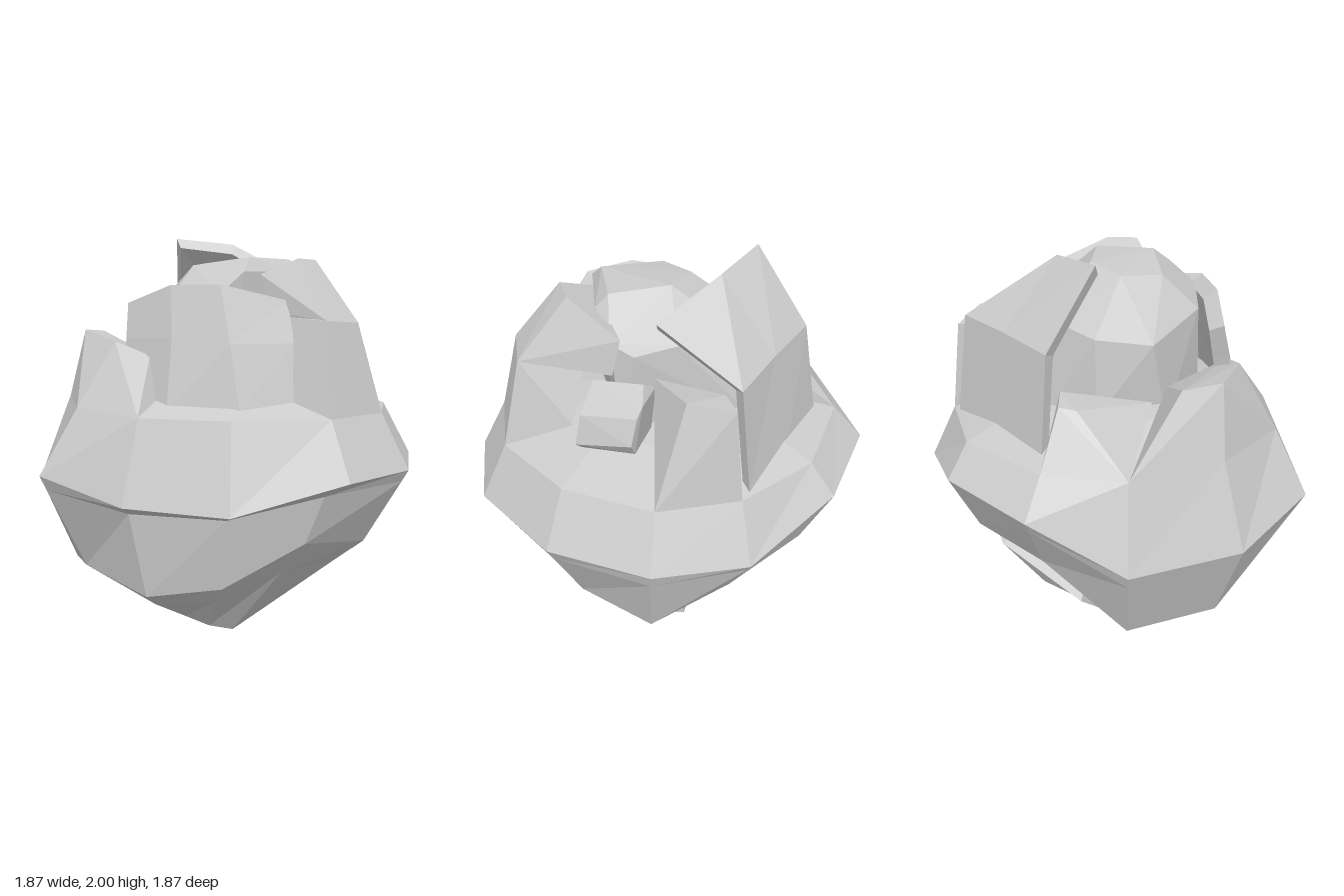
import * as THREE from 'three';
import { ConvexGeometry } from 'three/addons/geometries/ConvexGeometry.js';

const material = new THREE.MeshStandardMaterial({ color: 0xcccccc, flatShading: true, side: THREE.DoubleSide });

function part(name, geometry) {
  const mesh = new THREE.Mesh(geometry, material);
  mesh.name = name;
  return mesh;
}

// Solid chunk spanned by its corner points
const chunk = (name, pts) => part(name, new ConvexGeometry(pts.map((p) => new THREE.Vector3(...p))));

function facets(positions, index) {
  const g = new THREE.BufferGeometry();
  g.setAttribute('position', new THREE.Float32BufferAttribute(positions.flat(), 3));
  g.setIndex(index);
  const flat = g.toNonIndexed();
  flat.computeVertexNormals();
  return flat;
}

// Ring between two others, with some corners pushed in to form a recess
const between = (a, b, t, recess) =>
  a.map((p, i) => recess[i] ?? p.map((v, k) => v + (b[i][k] - v) * t));

// Closed body from rings ordered bottom to top, capped at both ends
function loft(rings, bottom, top) {
  const n = rings[0].length, last = (rings.length - 1) * n, index = [];
  const pts = [...rings.flat(), bottom, top];
  for (let j = 0; j < n; j++) {
    const k = (j + 1) % n;
    for (let i = 0; i < rings.length - 1; i++) {
      const a = i * n + j, b = i * n + k;
      index.push(a, b, b + n, a, b + n, a + n);
    }
    index.push(pts.length - 2, k, j, pts.length - 1, last + j, last + k);
  }
  return facets(pts, index);
}

// Bent plate: outer grid of points, inner grid pulled toward a centre
function plate(name, rows, thickness, centre) {
  const c = new THREE.Vector3(...centre), w = rows[0].length, h = rows.length;
  const outer = rows.flat(), n = outer.length, index = [];
  const inner = outer.map((p) => {
    const v = new THREE.Vector3(...p);
    return v.addScaledVector(c.clone().sub(v).normalize(), thickness).toArray();
  });
  const quad = (a, b, d, e) => index.push(a, b, d, a, d, e);
  for (let i = 0; i < h - 1; i++) {
    for (let j = 0; j < w - 1; j++) {
      const a = i * w + j;
      quad(a, a + 1, a + w + 1, a + w);
      quad(n + a, n + a + w, n + a + w + 1, n + a + 1);
    }
    const l = i * w, r = l + w - 1;
    quad(l, l + w, n + l + w, n + l);
    quad(r, n + r, n + r + w, r + w);
  }
  for (let j = 0; j < w - 1; j++) {
    const t = (h - 1) * w + j;
    quad(j, n + j, n + j + 1, j + 1);
    quad(t, t + 1, n + t + 1, n + t);
  }
  return part(name, facets([...outer, ...inner], index));
}

export function createModel() {
  const model = new THREE.Group();
  model.name = 'brokenShell';

  // Twelve-sided lower shell, recessed at the lower front and under the hanging plate
  const base = [[.05, .16, .28], [.3, .21, .2], [.28, .26, .03], [.24, .28, -.08], [.18, .24, -.2], [-.05, .13, -.28],
    [-.23, .09, -.28], [-.3, .12, -.26], [-.38, .15, -.12], [-.38, .15, .1], [-.33, .12, .22], [-.23, .09, .28]];
  const low = [[.2, .54, .73], [.55, .49, .5], [.78, .44, .2], [.78, .65, -.17], [.6, .73, -.55], [.24, .72, -.77],
    [-.15, .35, -.77], [-.55, .35, -.55], [-.74, .42, -.2], [-.7, .35, .2], [-.49, .4, .47], [-.23, .61, .73]];
  const equator = [[.26, .9, .93], [.69, .9, .65], [.93, .9, .22], [.93, .9, -.22], [.69, 1.04, -.66], [.26, 1.04, -.94],
    [-.18, .8, -.94], [-.66, .8, -.68], [-.94, .87, -.27], [-.83, .78, .2], [-.6, .77, .63], [-.18, .9, .93]];
  const rim = [[.22, 1.16, .8], [.58, 1.16, .56], [.8, 1.16, .18], [.8, 1.17, -.2], [.62, 1.19, -.56], [.22, 1.2, -.8],
    [-.16, 1.2, -.8], [-.55, 1.2, -.57], [-.77, 1.18, -.2], [-.71, 1.16, .17], [-.5, 1.16, .54], [-.15, 1.16, .8]];
  const underside = between(low, base, .3, { 2: [.56, .37, .1], 3: [.52, .56, -.12], 4: [.4, .58, -.38], 5: [.15, .5, -.55] });
  const bite = between(equator, low, .15, { 9: [-.77, .74, .17], 10: [-.52, .73, .53], 11: [-.2, .83, .81] });
  const floor = rim.map(([x, y, z]) => [x * .62, y + .11, z * .62]);
  model.add(part('lowerShell', loft([base, underside, low, bite, equator, rim, floor], [-.1, .14, 0], [0, 1.35, 0])));

  // Sloping lip at the back
  model.add(chunk('rearLip', [
    [-.16, 1.2, -.8], [.22, 1.2, -.8], [.17, 1.44, -.63], [.09, 1.43, -.63],
    [.19, 1.45, -.5], [-.2, 1.35, -.35], [.2, 1.2, -.4]]));

  // Faceted inner core
  model.add(chunk('core', [
    [-.2, 1.84, -.02], [-.12, 1.87, .28], [.16, 1.87, .28], [.14, 1.88, 0], [-.02, 1.86, -.12],
    [-.2, 1.62, -.33], [.05, 1.66, -.4], [.24, 1.68, -.28], [.33, 1.68, 0], [.36, 1.66, .2],
    [.33, 1.72, .3], [.16, 1.81, .34], [-.2, 1.8, .32], [-.33, 1.7, .3], [-.37, 1.68, 0], [-.28, 1.65, -.15],
    [-.38, 1.32, .02], [-.26, 1.22, -.28], [.04, 1.3, -.43], [.3, 1.25, -.36], [.34, 1.2, .25], [-.28, 1.2, .3]]));

  // Front shard: upright trunk and the piece leaning over the block
  model.add(chunk('frontShardTrunk', [
    [-.15, 1.16, .8], [.22, 1.16, .8], [-.07, 1.58, .7], [.16, 1.57, .7],
    [-.2, 1.18, .45], [.28, 1.28, .48], [-.1, 1.6, .4], [.19, 1.58, .4]]));
  model.add(chunk('frontShardTop', [
    [-.07, 1.58, .7], [.16, 1.57, .7], [.41, 1.61, .3], [.3, 1.63, .45], [-.01, 1.86, .48], [.14, 1.86, .46],
    [.4, 1.77, .26], [-.1, 1.79, .33], [-.1, 1.62, .4]]));

  // Side shard
  model.add(chunk('leftShard', [
    [.8, 1.16, .18], [.8, 1.17, -.2], [.7, 1.63, .03], [.75, 1.6, -.17],
    [.42, 1.18, .12], [.43, 1.59, .12], [.6, 1.18, -.15], [.62, 1.6, -.15]]));

  // Tall bent plate at the back
  model.add(plate('backPlate', [
    [[.76, 1.18, -.24], [.5, 1.19, -.48], [.24, 1.2, -.69]],
    [[.7, 1.66, -.2], [.46, 1.67, -.4], [.22, 1.67, -.61]],
    [[.36, 1.81, .1], [.25, 1.97, -.2], [.04, 2, -.41]]], .06, [0, 1.4, 0]));

  // Low jagged shard at the back on the other side
  model.add(chunk('rearRightShard', [
    [-.16, 1.2, -.8], [-.55, 1.2, -.57], [-.35, 1.52, -.55], [-.52, 1.53, -.47], [-.26, 1.4, -.28], [-.25, 1.2, -.28],
    [-.77, 1.18, -.2], [-.71, 1.16, .17], [-.58, 1.48, -.15], [-.52, 1.42, .03], [-.4, 1.2, .1]]));

  // Curved standing plate on the front right
  model.add(plate('frontRightPlate', [
    [[-.58, 1.18, -.1], [-.57, 1.18, .2], [-.41, 1.19, .5], [-.13, 1.2, .62]],
    [[-.53, 1.5, -.13], [-.5, 1.5, .16], [-.39, 1.48, .42], [-.11, 1.48, .55]],
    [[-.5, 1.66, -.15], [-.45, 1.74, .1], [-.36, 1.74, .33], [-.08, 1.67, .48]]], .08, [0, 1.4, 0]));

  // Tapered block in the front gap
  model.add(chunk('block', [
    [.33, 1.26, .45], [.44, 1.27, .45], [.58, 1.31, .23], [.47, 1.31, .48], [.61, 1.37, .25], [.45, 1.45, .45],
    [.58, 1.49, .22], [.35, 1.56, .38], [.44, 1.57, .17], [.55, 1.53, .19], [.25, 1.38, .38],
    [.28, 1.5, .32], [.38, 1.3, .13], [.39, 1.52, .11]]));

  // Loose curved plate hanging underneath
  model.add(plate('hangingPlate', [
    [[-.1, .13, -.38], [.02, .06, -.27], [.13, 0, -.15], [.4, .06, -.03]],
    [[.0, .28, -.56], [.33, .3, -.42], [.46, .3, -.2], [.52, .24, .15]],
    [[.08, .44, -.7], [.52, .56, -.47], [.68, .63, -.21], [.62, .44, .32]]], .06, [0, .9, 0]));

  return model;
}
